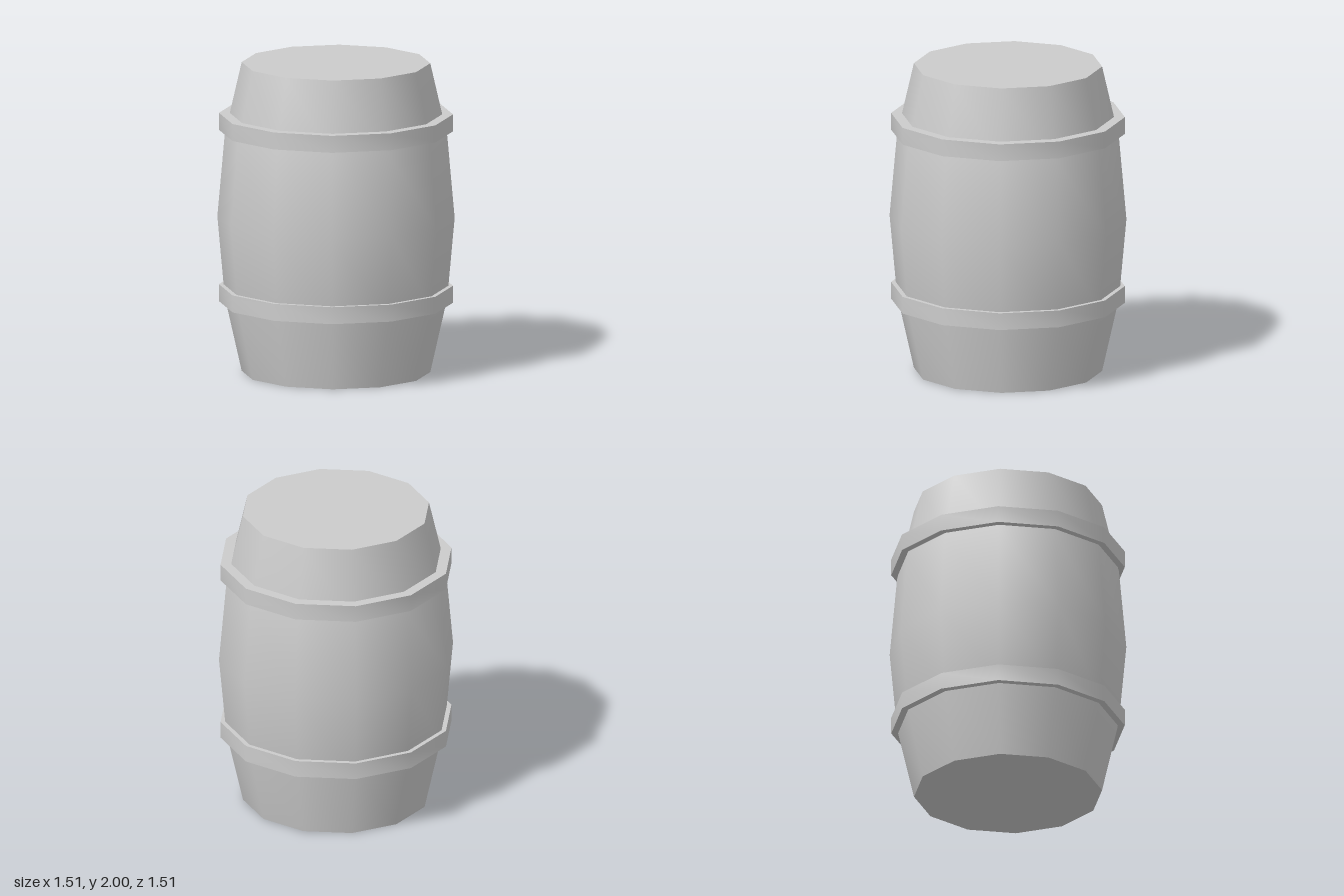
import * as THREE from 'three';
import { toCreasedNormals } from 'three/addons/utils/BufferGeometryUtils.js';

const SIDES = 12;
const CREASE = THREE.MathUtils.degToRad(40); // smooth around the sides, sharp at the rims
const material = new THREE.MeshStandardMaterial({ color: 0xcccccc });

// Revolve a bottom-to-top [radius, height] profile into a twelve-sided part
function turned(name, profile) {
  const points = profile.map(([r, y]) => new THREE.Vector2(r, y));
  const geometry = toCreasedNormals(new THREE.LatheGeometry(points, SIDES), CREASE);
  const mesh = new THREE.Mesh(geometry, material);
  mesh.name = name;
  return mesh;
}

// Flat hoop whose inner edge sits inside the barrel wall
function hoop(name, bottom) {
  const inner = 0.66, outer = 0.745, top = bottom + 0.11;
  return turned(name, [[inner, bottom], [outer, bottom], [outer, top], [inner, top]]);
}

export function createModel() {
  const barrel = new THREE.Group();
  barrel.name = 'barrel';

  // Bulging body with closed ends
  barrel.add(turned('body', [
    [0, 0], [0.6, 0], [0.708, 0.48], [0.755, 1], [0.708, 1.53], [0.6, 2], [0, 2],
  ]));

  barrel.add(hoop('lowerHoop', 0.45), hoop('upperHoop', 1.56));
  return barrel;
}
